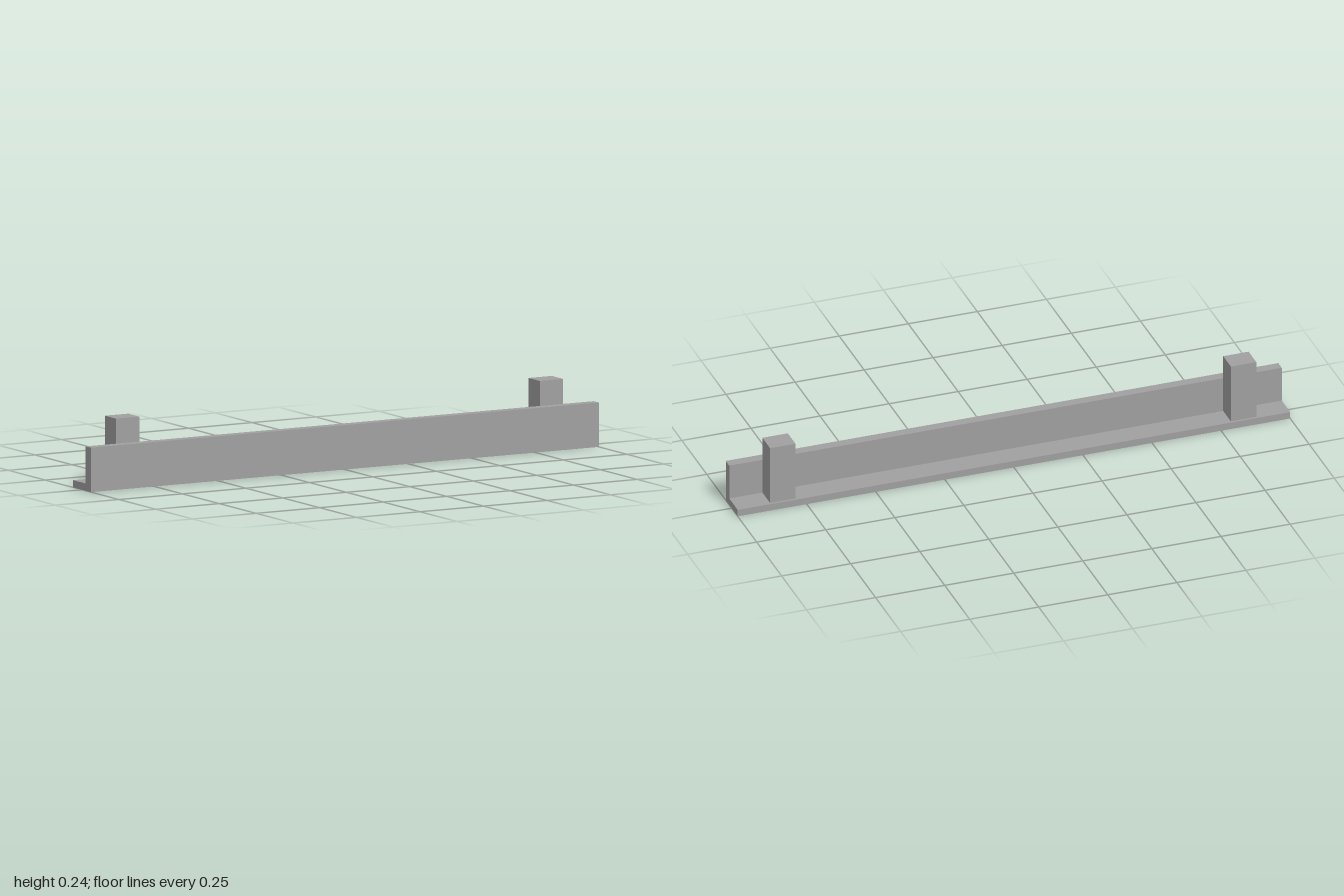
import * as THREE from 'three';

export function createModel() {
  const model = new THREE.Group();
  model.name = 'angleRail';
  const grey = new THREE.MeshStandardMaterial({ color: 0xa0a0a0 });
  grey.name = 'plain grey';

  // L-shaped rail: tall front wall and thin bottom ledge, extruded along x
  const section = new THREE.Shape([
    [-0.06, 0], [0.06, 0], [0.06, 0.025], [-0.025, 0.025], [-0.025, 0.153], [-0.06, 0.153],
  ].map(([x, y]) => new THREE.Vector2(x, y)));
  const railGeometry = new THREE.ExtrudeGeometry(section, { depth: 2, bevelEnabled: false });
  railGeometry.translate(0, 0, -1).rotateY(Math.PI / 2);
  const rail = new THREE.Mesh(railGeometry, grey);
  rail.name = 'rail';
  model.add(rail);

  // Upright posts standing on the ledge against the wall
  const postGeometry = new THREE.BoxGeometry(0.092, 0.214, 0.077);
  for (const [name, side] of [['leftPost', 1], ['rightPost', -1]]) {
    const post = new THREE.Mesh(postGeometry, grey);
    post.name = name;
    post.position.set(side * 0.834, 0.132, -0.0135);
    model.add(post);
  }
  return model;
}
